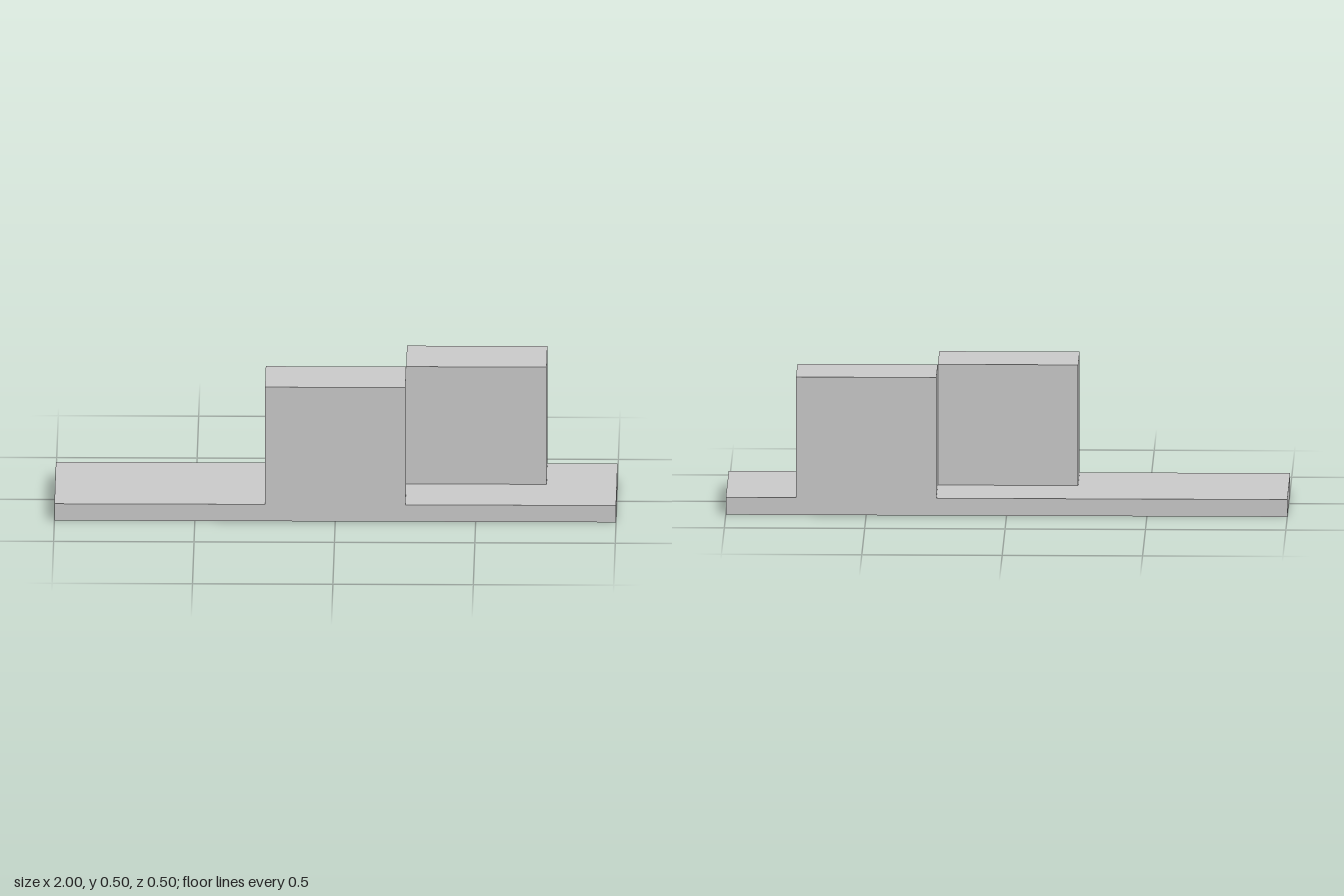
import * as THREE from 'three';

const BASE_HEIGHT = 0.0625;
const TOP = 0.5;

export function createModel() {
  const model = new THREE.Group();
  const material = new THREE.MeshStandardMaterial({ color: 0xcccccc, flatShading: true });

  // Box given by its size and the centre of its underside
  function addBox(name, [w, h, d], [x, y, z]) {
    const geometry = new THREE.BoxGeometry(w, h, d).translate(0, h / 2, 0);
    const mesh = new THREE.Mesh(geometry, material);
    mesh.name = name;
    mesh.position.set(x, y, z);
    model.add(mesh);
  }

  // Long flat slab
  addBox('basePlate', [2, BASE_HEIGHT, 0.5], [0, 0, 0]);

  // Two equal blocks, staggered so that they meet along one vertical edge
  const blockSize = [0.5, TOP - BASE_HEIGHT, 0.25];
  addBox('frontBlock', blockSize, [0, BASE_HEIGHT, 0.125]);
  addBox('backBlock', blockSize, [0.5, BASE_HEIGHT, -0.125]);

  return model;
}
